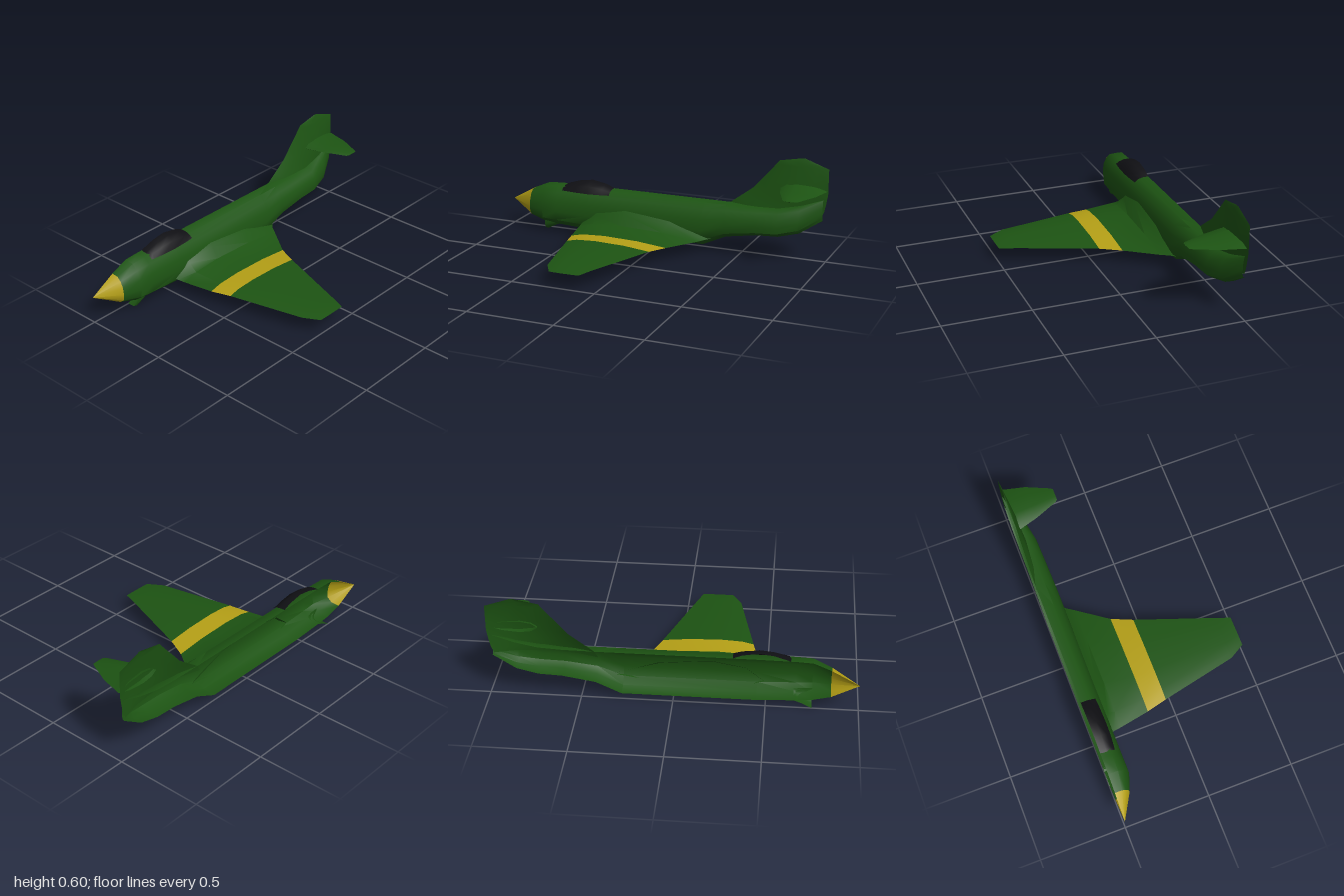
import * as THREE from 'three';
import { toCreasedNormals } from 'three/addons/utils/BufferGeometryUtils.js';

const CUT = -0.5; // plane where the half airframe is open

const paint = (color) => new THREE.MeshStandardMaterial({ color, side: THREE.DoubleSide });

// Skin a surface over rows of [x, y, z] points.
function loft(rows) {
  const n = rows[0].length, index = [];
  for (let r = 0; r < rows.length - 1; r++) {
    for (let i = 0; i < n - 1; i++) {
      const a = r * n + i, c = a + n;
      index.push(a, a + 1, c, a + 1, c + 1, c);
    }
  }
  const g = new THREE.BufferGeometry();
  g.setAttribute('position', new THREE.Float32BufferAttribute(rows.flat(2), 3));
  g.setIndex(index);
  return toCreasedNormals(g, 0.75);
}

// Half cross-sections, top to bottom: [share of width, share of height]
const BODY = [[0, 1], [0.48, 0.98], [0.76, 0.84], [0.94, 0.63], [1, 0.38], [0.95, 0.16], [0.62, 0.02], [0, 0]];
const CANOPY = [[0, 1], [0.42, 0.97], [0.78, 0.62], [1, 0]];
const SCOOP = [[1, 1], [0.97, 0.55], [0.85, 0.25], [0.5, 0.02], [0, 0]];

// Stations along the length: [z, half width, bottom, top]
const hull = (section, stations) => loft(stations.map(([z, w, lo, hi]) =>
  section.map(([u, v]) => [CUT + u * w, lo + v * (hi - lo), z])));

// Stations across the span: [x, leading z, trailing z, bottom, top, edge y]
const FOIL = [[0, 0], [0.3, 0.75], [0.65, 1], [0.88, 0.7], [1, 0], [0.88, -0.7], [0.65, -1], [0.3, -0.75], [0, 0]];
const wing = (stations) => loft(stations.map(([x, le, te, lo, hi, mid]) =>
  FOIL.map(([u, v]) => [x, v > 0 ? mid + v * (hi - mid) : mid + v * (mid - lo), te + u * (le - te)])));

export function createModel() {
  const model = new THREE.Group();
  const green = paint(0x1d5413), yellow = paint(0xb5a016), black = paint(0x101014);
  const add = (name, geometry, material) => {
    const mesh = new THREE.Mesh(geometry, material);
    mesh.name = name;
    model.add(mesh);
  };

  // Fuselage and nose
  add('fuselage', hull(BODY, [
    [0.85, 0.085, 0.08, 0.245], [0.75, 0.12, 0.055, 0.288], [0.66, 0.12, 0.047, 0.293],
    [0.45, 0.12, 0.036, 0.295], [-0.28, 0.12, 0.035, 0.295], [-0.42, 0.117, 0.1, 0.295],
    [-0.6, 0.112, 0.13, 0.297], [-0.73, 0.108, 0.136, 0.305], [-0.85, 0.08, 0.165, 0.33],
    [-0.975, 0.015, 0.245, 0.37],
  ]), green);
  add('noseCone', hull(BODY, [[1, 0, 0.16, 0.16], [0.85, 0.085, 0.08, 0.245]]), yellow);

  // Canopy
  add('canopy', hull(CANOPY, [
    [0.63, 0.083, 0.268, 0.292], [0.61, 0.086, 0.268, 0.3], [0.54, 0.092, 0.267, 0.322],
    [0.46, 0.093, 0.266, 0.333], [0.37, 0.09, 0.268, 0.317], [0.32, 0.086, 0.27, 0.296],
  ]), black);

  // Chin intake: outer skin and inner duct
  add('intakeScoop', hull(SCOOP, [
    [0.75, 0.085, 0.002, 0.075], [0.69, 0.08, 0.032, 0.075], [0.65, 0.07, 0.047, 0.075],
  ]), green);
  add('intakeDuct', hull(SCOOP, [
    [0.75, 0.085, 0.002, 0.075], [0.7, 0.07, 0.034, 0.075], [0.66, 0.05, 0.055, 0.075],
  ]), green);

  // Wing with root fillet and a painted band
  const bandInner = [-0.15, 0.443, -0.155, 0.06, 0.107, 0.083];
  const bandOuter = [-0.03, 0.415, -0.1, 0.073, 0.111, 0.09];
  add('wingRoot', wing([
    [-0.395, 0.488, -0.34, 0.042, 0.205, 0.09], [-0.37, 0.482, -0.31, 0.046, 0.18, 0.086],
    [-0.325, 0.475, -0.28, 0.049, 0.121, 0.084], bandInner,
  ]), green);
  add('wingBand', wing([bandInner, bandOuter]), yellow);
  add('wingOuter', wing([
    bandOuter, [0.41, 0.322, 0.06, 0.087, 0.104, 0.095], [0.5, 0.27, 0.092, 0.091, 0.094, 0.0925],
  ]), green);

  // Tail fin, stations up its height: [y, leading z, trailing z, half thickness]
  const finStations = [
    [0.26, -0.4, -0.965, 0.05], [0.295, -0.42, -0.98, 0.044], [0.34, -0.48, -0.99, 0.039],
    [0.4, -0.56, -1, 0.035], [0.45, -0.603, -1, 0.029], [0.55, -0.69, -1, 0.011],
    [0.575, -0.71, -0.93, 0.006], [0.6, -0.845, -0.86, 0.001],
  ];
  add('tailFin', loft(finStations.map(([y, le, te, t]) =>
    [[0, 0], [0.2, 0.65], [0.5, 1], [0.8, 0.65], [1, 0]].map(([u, v]) =>
      [CUT + v * t, y, le + u * (te - le)]))), green);

  // Tailplane
  add('tailplane', wing([
    [-0.49, -0.725, -1, 0.39, 0.455, 0.422], [-0.46, -0.73, -0.99, 0.398, 0.448, 0.422],
    [-0.36, -0.76, -0.966, 0.411, 0.435, 0.422], [-0.225, -0.815, -0.905, 0.416, 0.428, 0.422],
    [-0.215, -0.825, -0.895, 0.42, 0.424, 0.422],
  ]), green);

  return model;
}
